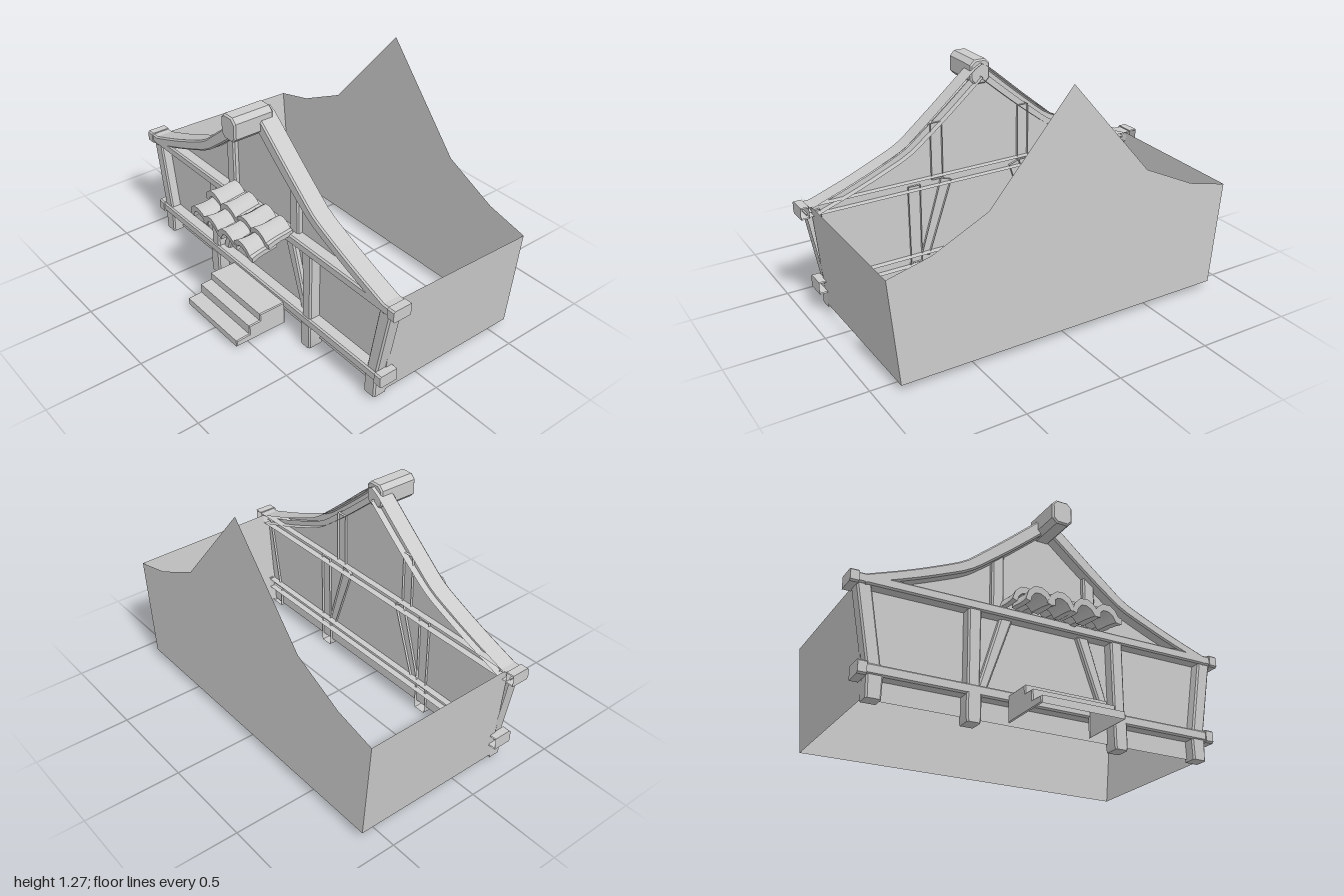
import * as THREE from 'three';
import { toCreasedNormals } from 'three/addons/utils/BufferGeometryUtils.js';

const material = new THREE.MeshStandardMaterial({ color: 0xcccccc, side: THREE.DoubleSide });

const V = (x, y) => new THREE.Vector2(x, y);

function add(parent, name, geometry) {
  const mesh = new THREE.Mesh(geometry, material);
  mesh.name = name;
  parent.add(mesh);
  return mesh;
}

function fromTriangles(points) {
  const geo = new THREE.BufferGeometry().setFromPoints(points);
  geo.computeVertexNormals();
  return geo;
}

// Timber along a path in the xy plane: chamfered front edges, open at the back.
// Each path entry is [x, y, width].
function timber(path, z0, z1, bevel = 0.008) {
  const rings = path.map(([x, y, w], i) => {
    const a = path[Math.max(i - 1, 0)];
    const b = path[Math.min(i + 1, path.length - 1)];
    const n = V(a[1] - b[1], b[0] - a[0]).normalize();
    const h = w / 2;
    return [[-h, z0], [-h, z1 - bevel], [-h + bevel, z1], [h - bevel, z1], [h, z1 - bevel], [h, z0]]
      .map(([u, z]) => new THREE.Vector3(x + n.x * u, y + n.y * u, z));
  });
  const tris = [];
  for (let i = 0; i < rings.length - 1; i++) {
    for (let j = 0; j < 5; j++) {
      const a = rings[i][j], b = rings[i][j + 1], c = rings[i + 1][j + 1], d = rings[i + 1][j];
      tris.push(a, d, c, a, c, b);
    }
  }
  const first = rings[0], last = rings[rings.length - 1];
  for (let j = 1; j < 5; j++) {
    tris.push(first[0], first[j], first[j + 1], last[0], last[j + 1], last[j]);
  }
  return toCreasedNormals(fromTriangles(tris), 0.5);
}

// Removes the triangles whose three corners all pass a test
function dropFaces(geometry, test) {
  const p = geometry.attributes.position;
  const kept = [];
  for (let i = 0; i < p.count; i += 3) {
    const tri = [0, 1, 2].map(k => new THREE.Vector3().fromBufferAttribute(p, i + k));
    if (!tri.every(test)) kept.push(...tri);
  }
  return fromTriangles(kept);
}

// Flat gable wall from the right half of its outline, bottom to apex
function gableWall(half, z) {
  const left = half.filter(p => p[0] > 0).reverse().map(([x, y]) => [-x, y]);
  const shape = new THREE.Shape([...half, ...left].map(([x, y]) => V(x, y)));
  return new THREE.ShapeGeometry(shape).translate(0, 0, z);
}

// One roof tile: an arched pantile with a flared front lip
function tileGeometry() {
  const outer = [[-0.068, 0.002], [-0.056, 0.038], [-0.03, 0.06], [0.005, 0.062], [0.035, 0.045], [0.052, 0.022], [0.07, 0.02]];
  const inner = [[0.07, -0.006], [0.042, -0.004], [0.022, 0.022], [-0.002, 0.034], [-0.024, 0.032], [-0.04, 0.015], [-0.046, -0.006]];
  const shape = new THREE.Shape([...outer, ...inner].map(([x, y]) => V(x, y)));
  const depth = 0.15;
  const geo = new THREE.ExtrudeGeometry(shape, { depth, steps: 4, bevelEnabled: false });
  const scales = [0.94, 0.97, 0.95, 1.0, 1.12];
  const p = geo.attributes.position;
  for (let i = 0; i < p.count; i++) {
    const s = scales[Math.round(p.getZ(i) / depth * 4)];
    p.setXY(i, p.getX(i) * s, p.getY(i) * s);
  }
  geo.computeVertexNormals();
  return toCreasedNormals(geo, 0.6);
}

export function createModel() {
  const house = new THREE.Group();
  house.name = 'house';

  // Curved gable rafters, one piece mirrored about the apex
  const rafterCurve = new THREE.CatmullRomCurve3([
    [-0.93, 0.57, 0.05], [-0.72, 0.645, 0.052], [-0.56, 0.71, 0.054], [-0.43, 0.77, 0.057],
    [-0.33, 0.845, 0.062], [-0.2, 0.95, 0.066], [-0.05, 1.077, 0.068], [0, 1.118, 0.068],
  ].map(p => new THREE.Vector3(...p)));
  const halfRafter = rafterCurve.getPoints(18).map(p => [p.x, p.y, p.z]);
  const rafter = [...halfRafter, ...halfRafter.slice(0, -1).reverse().map(([x, y, w]) => [-x, y, w])];

  // Walls
  const walls = new THREE.Group();
  walls.name = 'walls';
  house.add(walls);
  const zBack = -0.585, zFront = 0.235;
  add(walls, 'backWall', gableWall(
    [[0.885, 0.04], [0.935, 0.58], [0.715, 0.635], [0.435, 0.77], [0, 1.27]], zBack).rotateY(0));
  const frontTop = halfRafter.filter(p => p[0] > -0.9).map(([x, y]) => [Math.abs(x), y]);
  add(walls, 'frontWall', gableWall([[0.885, 0.04], [0.935, 0.575], ...frontTop], zFront));
  for (const s of [1, -1]) {
    const [a, b, c, d] = [[0.885, 0.04, zFront], [0.885, 0.04, zBack], [0.935, 0.58, zBack], [0.935, 0.595, zFront]]
      .map(([x, y, z]) => new THREE.Vector3(s * x, y, z));
    add(walls, s > 0 ? 'leftWall' : 'rightWall',
      fromTriangles(s > 0 ? [a, b, c, a, c, d] : [a, c, b, a, d, c]));
  }

  // Horizontal beams with thicker end blocks
  const frame = new THREE.Group();
  frame.name = 'timberFrame';
  house.add(frame);
  add(frame, 'gableRafters', timber(rafter, 0.2, 0.297));
  const beams = [
    ['eavesBeam', 0.575, 0.997, 0.05, 0.062],
    ['sillBeam', 0.157, 0.935, 0.052, 0.066],
  ];
  for (const [name, y, half, w, capW] of beams) {
    add(frame, name, timber([[-half, y, w], [half, y, w]], 0.2, 0.297));
    for (const s of [1, -1]) {
      const x = s * (half - 0.021);
      add(frame, name + 'End', timber([[x - 0.021, y, capW], [x + 0.021, y, capW]], 0.2, 0.303));
    }
  }

  // Posts, braces and feet, mirrored left and right
  for (const s of [1, -1]) {
    const post = (name, pts, z1, z0 = 0.222) =>
      add(frame, name, timber(pts.map(([x, y, w]) => [s * x, y, w]), z0, z1));
    post('cornerPost', [[0.855, 0.16, 0.066], [0.928, 0.565, 0.07]], 0.288);
    post('cornerFoot', [[0.852, 0.028, 0.072], [0.852, 0.14, 0.078]], 0.292);
    post('frontPost', [[0.387, 0.12, 0.062], [0.387, 0.57, 0.068]], 0.292);
    post('frontFoot', [[0.387, 0.003, 0.064], [0.387, 0.02, 0.074], [0.387, 0.14, 0.074]], 0.3);
    post('diagonalBrace', [[0.335, 0.17, 0.045], [0.205, 0.57, 0.062]], 0.262);
    post('gablePost', [[0.255, 0.58, 0.064], [0.255, 0.885, 0.064]], 0.262);
  }

  // Projecting ridge beam
  const b = 0.008, rx = 0.055 - b, ry = 0.064 - b, c = 0.02;
  const octagon = new THREE.Shape([
    V(-rx + c, -ry), V(rx - c, -ry), V(rx, -ry + c), V(rx, ry - c),
    V(rx - c, ry), V(-rx + c, ry), V(-rx, ry - c), V(-rx, -ry + c),
  ]);
  const ridge = new THREE.ExtrudeGeometry(octagon,
    { depth: 0.22 - 2 * b, bevelThickness: b, bevelSize: b, bevelSegments: 1 });
  add(house, 'ridgeBeam', ridge).position.set(0, 1.105, 0.22 + b);

  // Hollow entrance steps, open below and behind
  const e = 0.005;
  const profile = new THREE.Shape([
    V(0.295, 0.03 + e), V(0.585 - e, 0.03 + e), V(0.585 - e, 0.066 - e), V(0.508 - e, 0.07 - e),
    V(0.508 - e, 0.12 - e), V(0.443 - e, 0.122 - e), V(0.443 - e, 0.162 - e), V(0.295, 0.162 - e),
  ]);
  const stepGeo = new THREE.ExtrudeGeometry(profile,
    { depth: 0.43 - 2 * e, bevelThickness: e, bevelSize: e, bevelSegments: 1 });
  stepGeo.rotateY(-Math.PI / 2).translate(0.215 - e, 0, 0);
  add(house, 'entranceSteps', dropFaces(stepGeo, v => v.y < 0.031 || v.z < 0.2905));

  // Tiled awning: two overlapping rows of four, each tile slightly askew
  const awning = new THREE.Group();
  awning.name = 'awning';
  house.add(awning);
  const tile = tileGeometry();
  let seed = 7;
  const jitter = () => {
    seed = (seed * 16807) % 2147483647;
    return seed / 2147483647 - 0.5;
  };
  for (const [name, y, z] of [['upperTile', 0.6, 0.265], ['lowerTile', 0.566, 0.362]]) {
    for (let i = 0; i < 4; i++) {
      const mesh = add(awning, name, tile);
      mesh.position.set(-0.18 + i * 0.125 + jitter() * 0.012, y + jitter() * 0.01, z + jitter() * 0.012);
      mesh.rotation.set(0.13 + jitter() * 0.06, jitter() * 0.06, jitter() * 0.16);
    }
  }
  return house;
}
